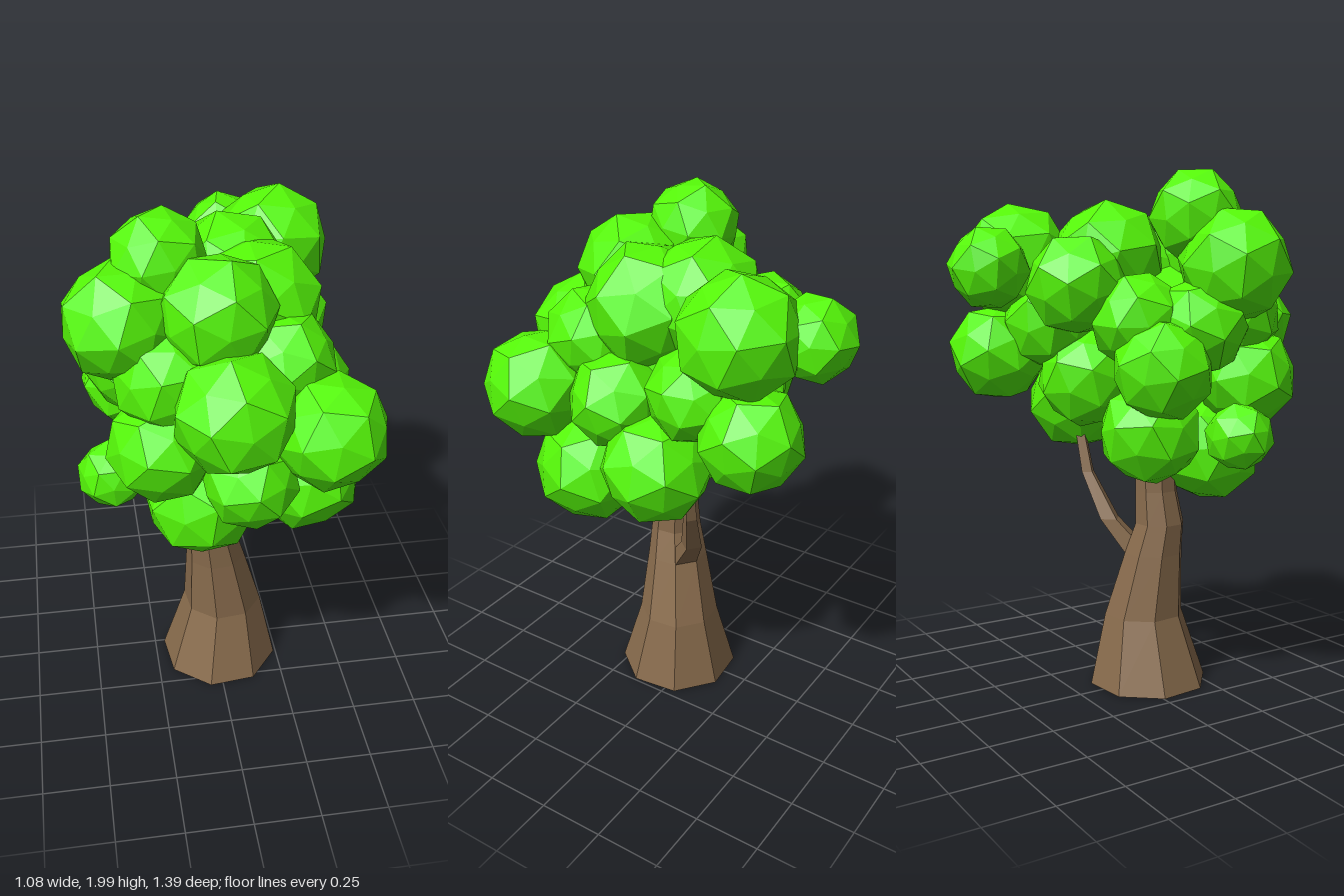
import * as THREE from 'three';
import { ConvexGeometry } from 'three/addons/geometries/ConvexGeometry.js';

const bark = new THREE.MeshStandardMaterial({ color: 0x896c4d, flatShading: true });
const leaf = new THREE.MeshStandardMaterial({ color: 0x55f808, flatShading: true });

// Closed tapered limb through rings [x, y, z, radius], listed from bottom to top
function limb(name, rings, sides, phase) {
  const pos = [], index = [];
  for (const [x, y, z, r] of rings) {
    for (let i = 0; i < sides; i++) {
      const a = phase + (i / sides) * Math.PI * 2;
      pos.push(x + r * Math.cos(a), y, z + r * Math.sin(a));
    }
  }
  for (let k = 0; k < rings.length - 1; k++) {
    for (let i = 0; i < sides; i++) {
      const j = (i + 1) % sides;
      const a = k * sides + i, b = k * sides + j, c = a + sides, d = b + sides;
      index.push(a, c, b, b, c, d);
    }
  }
  const top = (rings.length - 1) * sides;
  for (let i = 1; i < sides - 1; i++) {
    index.push(0, i, i + 1);
    index.push(top, top + i + 1, top + i);
  }
  const g = new THREE.BufferGeometry();
  g.setAttribute('position', new THREE.Float32BufferAttribute(pos, 3));
  g.setIndex(index);
  g.computeVertexNormals();
  const mesh = new THREE.Mesh(g, bark);
  mesh.name = name;
  return mesh;
}

// Twelve-sided ball whose pentagons are slightly raised in the middle
function clumpGeometry() {
  const corners = new THREE.DodecahedronGeometry(1);
  const peaks = new THREE.IcosahedronGeometry(0.925).rotateY(Math.PI / 2);
  const points = new Map();
  for (const { attributes: { position } } of [corners, peaks]) {
    for (let i = 0; i < position.count; i++) {
      const p = new THREE.Vector3().fromBufferAttribute(position, i);
      points.set(p.toArray().map((v) => Math.round(v * 1000)).join(), p);
    }
  }
  return new ConvexGeometry([...points.values()]);
}

// Leaf clumps: x, y, z, radius
const crown = [
  [-0.205, 1.83, 0.135, 0.177], [-0.345, 1.65, 0.21, 0.215], [-0.03, 1.69, 0.285, 0.212],
  [0.07, 1.67, -0.08, 0.228], [0.14, 1.63, 0.1, 0.238], [0.28, 1.66, -0.36, 0.226],
  [0.12, 1.64, -0.55, 0.154], [-0.03, 1.58, -0.27, 0.192],
];
const middle = [
  [0, 1.42, 0.485, 0.22], [0.335, 1.31, 0.47, 0.21], [-0.23, 1.23, 0.35, 0.2],
  [-0.2, 1.47, 0.3, 0.198], [0.2, 1.5, 0.3, 0.187], [0.3, 1.32, 0.13, 0.187],
  [0.3, 1.42, -0.2, 0.177], [0.31, 1.32, -0.43, 0.192], [-0.3, 1.28, -0.07, 0.192],
  [-0.29, 1.43, 0.09, 0.187], [0.16, 1.44, -0.28, 0.187], [-0.18, 1.45, -0.1, 0.18],
  [0, 1.38, 0.1, 0.29],
];
const skirt = [
  [0.065, 1.12, 0.44, 0.178], [0.3, 1.01, 0.27, 0.213], [0.335, 1.12, -0.06, 0.213],
  [-0.085, 0.945, 0.28, 0.215], [-0.4, 1.03, 0.2, 0.13], [-0.17, 1.035, -0.04, 0.2],
  [0.07, 1.23, -0.17, 0.198],
];

export function createModel() {
  const tree = new THREE.Group();
  tree.name = 'tree';

  // Trunk flares at the foot and leans as it narrows
  tree.add(limb('trunk', [
    [0.015, 0, 0.07, 0.236], [0.03, 0.28, 0.057, 0.158], [-0.002, 0.53, 0.083, 0.117],
    [-0.02, 0.65, 0.1, 0.098], [-0.01, 0.78, 0.09, 0.084], [0, 1.2, 0.08, 0.07],
  ], 8, 0.28));

  // Square branch continues one trunk face toward the back and left
  tree.add(limb('branch', [
    [0.037, 0.53, 0.033, 0.063], [0.105, 0.66, -0.055, 0.045],
    [0.19, 0.84, -0.105, 0.029], [0.24, 1.08, -0.125, 0.021],
  ], 4, -0.113));

  // Foliage: faceted balls, each turned differently
  let seed = 7;
  const rand = () => (seed = (seed * 16807) % 2147483647) / 2147483647;
  const ball = clumpGeometry();
  const layers = { crownLeaves: crown, middleLeaves: middle, lowerLeaves: skirt };
  for (const [name, clumps] of Object.entries(layers)) {
    const layer = new THREE.Group();
    layer.name = name;
    for (const [x, y, z, r] of clumps) {
      const clump = new THREE.Mesh(ball, leaf);
      clump.name = 'leafClump';
      clump.position.set(x, y, z);
      clump.scale.setScalar(r);
      clump.rotation.set(rand() * 6, rand() * 6, rand() * 6);
      layer.add(clump);
    }
    tree.add(layer);
  }
  return tree;
}
